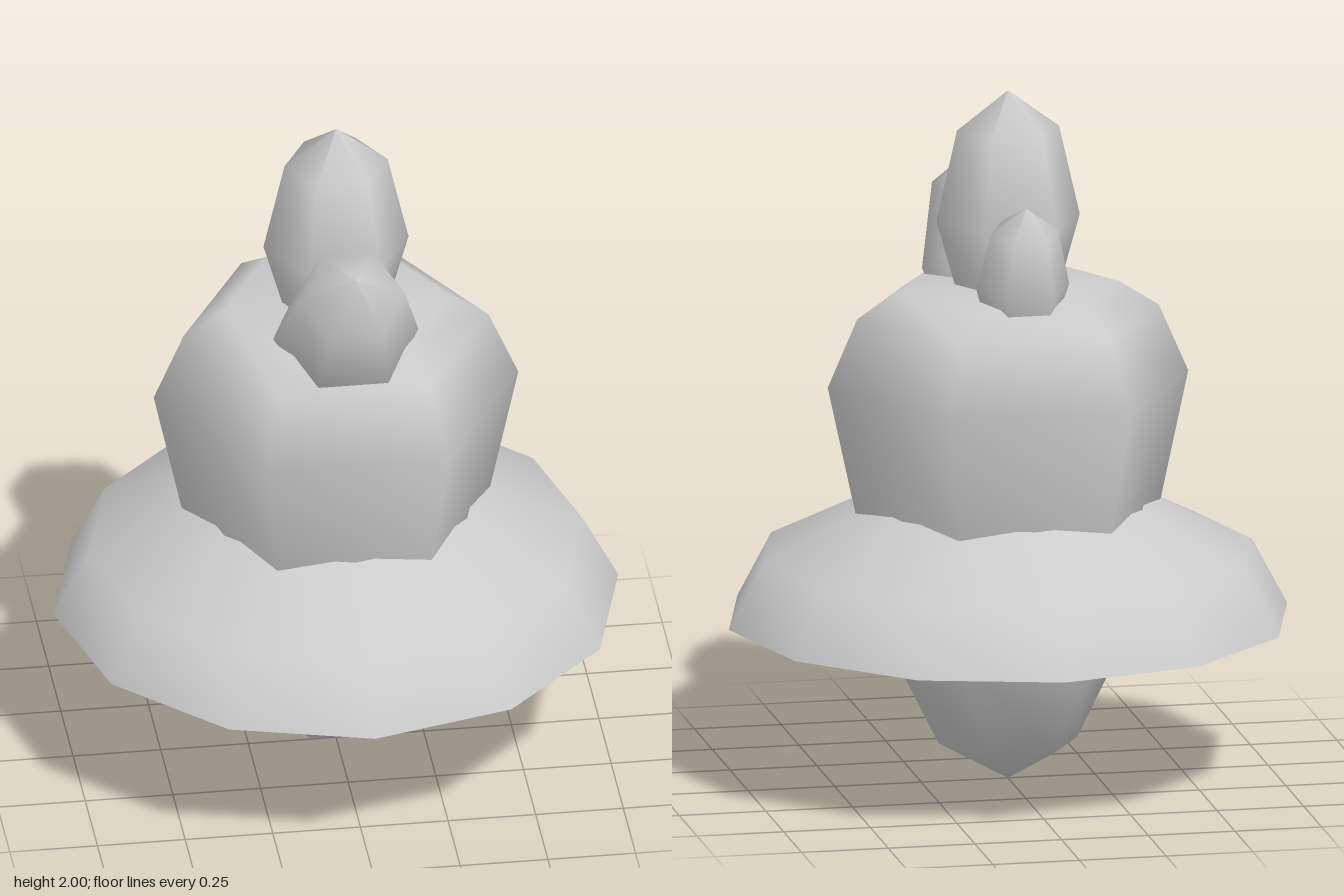
import * as THREE from 'three';

const material = new THREE.MeshStandardMaterial({ color: 0xcccccc, side: THREE.DoubleSide });

// Smooth-shaded ring profile; points are [radius, y] from bottom to top
function turned(name, profile, sides) {
  const points = profile.map(([r, y]) => new THREE.Vector2(r, y));
  // a corner of every ring lies on the x axis
  const mesh = new THREE.Mesh(new THREE.LatheGeometry(points, sides, Math.PI / 2), material);
  mesh.name = name;
  return mesh;
}

// Six-sided crystal, origin at its widest ring
function crystal(name, size, z, y, tilt) {
  const mesh = turned(name, [[0.15, -0.2], [0.207, 0], [0.147, 0.26], [0, 0.37]], 6);
  mesh.scale.setScalar(size);
  mesh.position.set(0, y, z);
  mesh.rotation.x = tilt;
  return mesh;
}

export function createModel() {
  const model = new THREE.Group();
  model.name = 'crystalOrnament';

  // Pointed stub under the skirt
  model.add(turned('root', [[0, 0], [0.2, 0.11], [0.345, 0.4], [0.365, 0.55], [0.32, 0.72]], 6));

  // Wide open skirt, its upper rim hugging the body
  model.add(turned('skirt', [[0.805, 0.47], [0.705, 0.66], [0.4, 0.81]], 12));

  // Hexagonal body with a rounded top
  model.add(turned('body', [[0.385, 0.55], [0.44, 0.79], [0.52, 1.16], [0.435, 1.355], [0.32, 1.43], [0, 1.455]], 6));

  // Crystal cluster on top
  model.add(crystal('mainCrystal', 1, 0, 1.63, 0));
  model.add(crystal('frontCrystal', 1, 0.2, 1.445, 0.62));
  model.add(crystal('backCrystal', 0.65, -0.205, 1.48, -0.2));

  return model;
}
